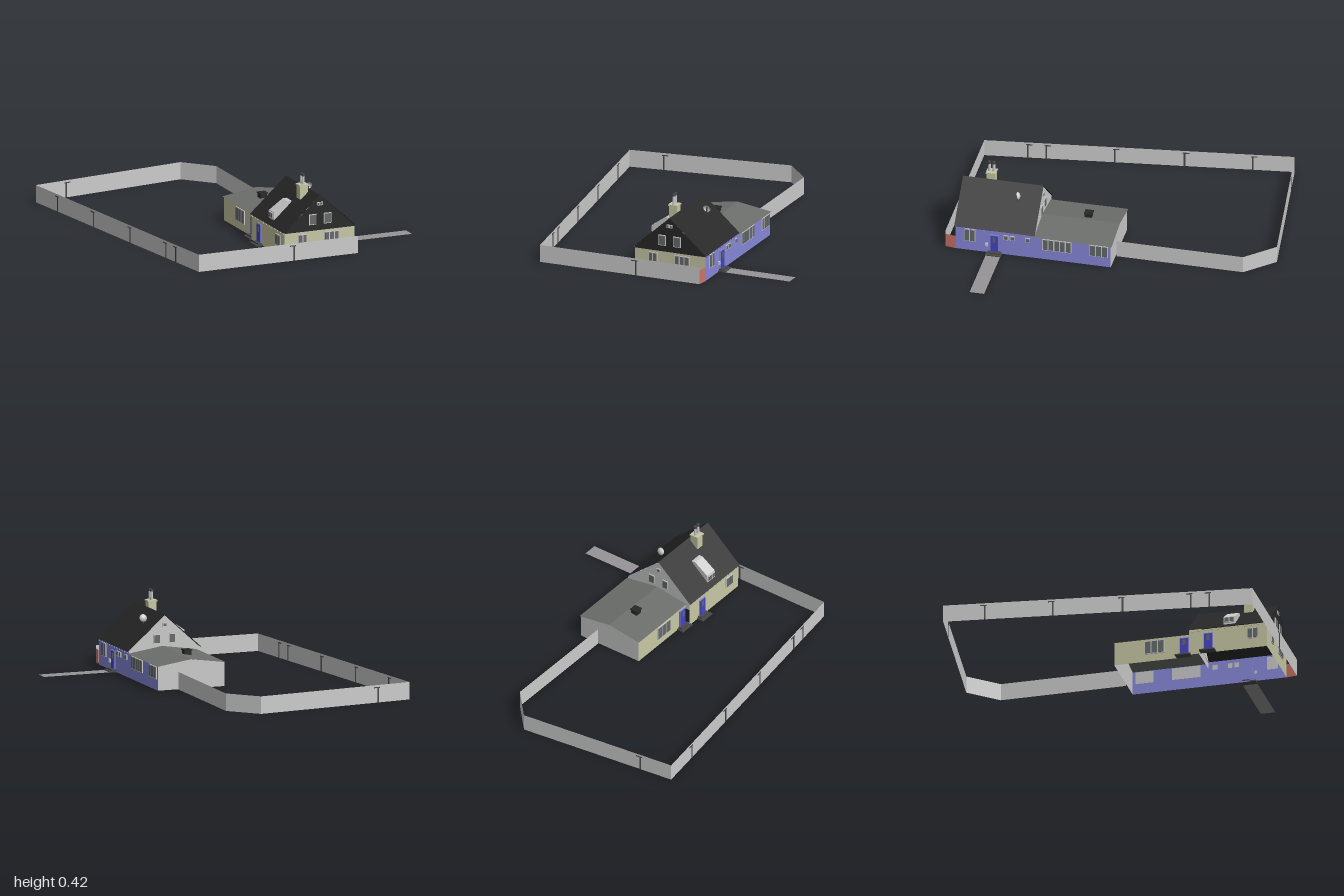
import * as THREE from 'three';

const mat = (name, color, side = THREE.FrontSide) =>
  Object.assign(new THREE.MeshStandardMaterial({ color, side }), { name });
const D = THREE.DoubleSide;

export function createModel() {
  const M = {
    black: mat('black tile', 0x282828, D),
    flat: mat('grey roofing', 0x6c6f6b, D),
    grey: mat('light grey render', 0xcccccc, D),
    cream: mat('cream render', 0xc8c8a6, D),
    blue: mat('blue render', 0x8888dc, D),
    door: mat('door blue', 0x4444c4),
    red: mat('gate red', 0xcc7468, D),
    glass: mat('window glass', 0x666a6c),
    path: mat('paving', 0x969496, D),
    dark: mat('dark stone', 0x484848),
  };
  const model = new THREE.Group();
  model.name = 'houseWithGarden';
  const house = new THREE.Group();
  house.name = 'house';
  house.position.set(0.411, 0, 0.404);
  house.rotation.y = 0.405;
  model.add(house);

  const add = (parent, name, geo, material) => {
    const m = new THREE.Mesh(geo, material);
    m.name = name;
    parent.add(m);
    return m;
  };
  const box = (parent, name, material, w, h, d, x, y, z) => {
    const m = add(parent, name, new THREE.BoxGeometry(w, h, d), material);
    m.position.set(x, y, z);
    return m;
  };
  // flat convex polygon, corners counter-clockwise from its front
  const poly = (parent, name, material, pts) => {
    const g = new THREE.BufferGeometry();
    g.setAttribute('position', new THREE.Float32BufferAttribute(pts.flat(), 3));
    const idx = [];
    for (let i = 1; i < pts.length - 1; i++) idx.push(0, i, i + 1);
    g.setIndex(idx);
    g.computeVertexNormals();
    return add(parent, name, g, material);
  };
  // upright wall between two ground points
  const wall = (parent, name, material, [x1, z1], [x2, z2], h, y = 0) =>
    poly(parent, name, material, [[x1, y, z1], [x2, y, z2], [x2, h, z2], [x1, h, z1]]);

  // fitting on a wall: turn 0 faces front, 1 faces +x, 2 back, 3 faces -x
  const onWall = (name, turn, x, y, z) => {
    const g = new THREE.Group();
    g.name = name;
    g.position.set(x, y, z);
    g.rotation.y = turn * Math.PI / 2;
    house.add(g);
    return g;
  };
  const windowAt = (turn, x, y, z, w, h, panes = 1) => {
    const g = onWall('window', turn, x, y, z);
    box(g, 'windowFrame', M.grey, w, h, 0.006, 0, 0, 0.002);
    const pw = w / panes;
    for (let i = 0; i < panes; i++)
      box(g, 'windowPane', M.glass, pw - 0.007, h - 0.008, 0.004, (i + 0.5) * pw - w / 2, 0, 0.005);
  };
  const doorAt = (turn, x, z) => {
    const g = onWall('doorway', turn, x, 0, z);
    box(g, 'doorFrame', M.blue, 0.052, 0.1, 0.007, 0, 0.064, 0.002);
    box(g, 'door', M.door, 0.042, 0.094, 0.008, 0, 0.062, 0.004);
    box(g, 'doorPane', M.glass, 0.016, 0.03, 0.004, 0, 0.085, 0.0075);
    box(g, 'doorStep', M.dark, 0.085, 0.007, 0.04, 0, 0.0035, 0.02);
    box(g, 'doorStep', M.dark, 0.065, 0.007, 0.025, 0, 0.0105, 0.0125);
  };

  // main block walls
  const X = 0.205, ZF = 0.213, ZB = -0.218;
  const EAVE = 0.14, RIDGE = 0.33;
  wall(house, 'frontWall', M.cream, [-X, ZF], [X, ZF], EAVE);
  wall(house, 'leftWall', M.blue, [X, ZF], [X, ZB], EAVE);
  wall(house, 'rightWall', M.cream, [-X, ZB], [-X, ZF], EAVE);
  poly(house, 'backGable', M.grey,
    [[X, 0.1, ZB], [-X, 0.1, ZB], [-X, EAVE, ZB], [0, RIDGE - 0.004, ZB], [X, EAVE, ZB]]);
  poly(house, 'frontGable', M.black,
    [[-0.21, 0.137, 0.219], [0.21, 0.137, 0.219], [0, RIDGE, 0.219]]);

  // main roof
  for (const s of [-1, 1]) {
    const p = [[0, RIDGE, 0.22], [s * 0.212, EAVE, 0.22], [s * 0.212, EAVE, -0.222], [0, RIDGE, -0.222]];
    poly(house, 'mainRoof', M.black, s > 0 ? p : p.reverse());
    for (let i = 0; i < 12; i++)
      box(house, 'rafterEnd', s > 0 ? M.blue : M.cream, 0.008, 0.008, 0.008,
        s * 0.207, 0.134, -0.2 + i * 0.0365);
  }

  // rear extension
  const EL = -0.178, ER = 0.205, EM = 0.013, EB = -0.637, EH = 0.13, ET = 0.16;
  wall(house, 'extensionLeftWall', M.blue, [ER, ZB], [ER, EB], EH);
  wall(house, 'extensionRightWall', M.cream, [EL, EB], [EL, ZB], EH);
  poly(house, 'extensionBackWall', M.grey,
    [[ER, 0, EB], [EL, 0, EB], [EL, EH, EB], [EM, ET - 0.002, EB], [ER, EH, EB]]);
  poly(house, 'extensionRoof', M.flat,
    [[EM, ET, -0.217], [0.211, EH, -0.217], [0.211, EH, -0.643], [EM, ET, -0.643]]);
  poly(house, 'extensionRoof', M.flat,
    [[EM, ET, -0.643], [-0.184, EH, -0.643], [-0.184, EH, -0.217], [EM, ET, -0.217]]);
  box(house, 'roofVent', M.black, 0.038, 0.028, 0.038, -0.03, 0.164, -0.463);
  box(house, 'roofVentCap', M.black, 0.046, 0.006, 0.046, -0.03, 0.178, -0.463);

  // windows and doors on the left side
  windowAt(1, X, 0.095, 0.135, 0.062, 0.075, 2);
  for (const z of [-0.063, -0.098, -0.183]) windowAt(1, X, 0.106, z, 0.026, 0.028);
  windowAt(1, X, 0.093, -0.342, 0.158, 0.068, 5);
  windowAt(1, X, 0.093, -0.572, 0.1, 0.068, 3);
  doorAt(1, X, 0);
  box(house, 'doorLamp', M.grey, 0.01, 0.018, 0.014, X + 0.004, 0.05, 0.042);

  // right side
  windowAt(3, -X, 0.085, 0.135, 0.06, 0.06, 2);
  doorAt(3, -X, -0.11);
  doorAt(3, EL, -0.25);
  windowAt(3, EL, 0.08, -0.415, 0.11, 0.075, 3);

  // front and back
  windowAt(0, 0.07, 0.093, ZF, 0.085, 0.06, 3);
  windowAt(0, -0.1, 0.093, ZF, 0.05, 0.06, 2);
  for (const s of [-1, 1]) {
    windowAt(0, s * 0.043, 0.2, 0.219, 0.044, 0.058, 1);
    windowAt(0, s * 0.009, 0.283, 0.219, 0.014, 0.018);
    windowAt(2, s * 0.044, 0.2, ZB, 0.036, 0.05);
  }
  windowAt(2, 0, 0.275, ZB, 0.022, 0.022);

  // chimney with two pots
  box(house, 'chimney', M.cream, 0.046, 0.075, 0.046, -0.037, 0.318, 0.071);
  box(house, 'chimneyCap', M.cream, 0.054, 0.008, 0.054, -0.037, 0.356, 0.071);
  for (const s of [-1, 1]) {
    const pot = add(house, 'chimneyPot', new THREE.CylinderGeometry(0.007, 0.008, 0.05, 10), M.grey);
    pot.position.set(-0.037, 0.383, 0.071 + s * 0.012);
    const cap = add(house, 'potCap', new THREE.CylinderGeometry(0.009, 0.009, 0.012, 10), M.dark);
    cap.position.set(-0.037, 0.412, 0.071 + s * 0.012);
  }

  // dormer on the right slope
  const prof = new THREE.Shape([[-0.186, 0.16], [-0.09, 0.247], [-0.082, 0.262], [-0.105, 0.262], [-0.184, 0.207]]
    .map(([x, y]) => new THREE.Vector2(x, y)));
  const dormer = add(house, 'dormer',
    new THREE.ExtrudeGeometry(prof, { depth: 0.066, bevelEnabled: false }), M.grey);
  dormer.position.z = -0.033;
  windowAt(3, -0.186, 0.188, 0, 0.056, 0.03, 2);

  // dish on the left slope
  const dish = add(house, 'dish', new THREE.SphereGeometry(0.026, 16, 6, 0, Math.PI * 2, 0, 0.95), M.grey);
  dish.position.set(0.075, 0.295, -0.115);
  dish.rotation.x = -Math.PI / 2 + 0.3;
  dish.position.z += 0.03;
  dish.position.y -= 0.004;
  box(house, 'dishPole', M.dark, 0.005, 0.05, 0.005, 0.075, 0.278, -0.098);

  // paved path to the door
  poly(house, 'path', M.path,
    [[0.207, 0.002, 0.04], [0.62, 0.002, 0.04], [0.62, 0.002, -0.04], [0.207, 0.002, -0.04]]);

  // garden wall and gate
  const H = 0.095;
  const run = [[0.7, 0.575], [-0.155, 0.945], [-1, -0.49], [-0.22, -0.945], [-0.03, -0.86], [0.24, -0.222]];
  for (let i = 0; i < run.length - 1; i++) wall(model, 'gardenWall', M.grey, run[i + 1], run[i], H);
  wall(model, 'gate', M.red, run[0], [0.684, 0.519], 0.077);

  // thin posts set in the garden wall: [run index, fraction along it]
  for (const [i, t] of [[0, 0.4], [1, 0.14], [1, 0.2], [1, 0.42], [1, 0.645], [1, 0.865], [2, 0.21]]) {
    const [a, b] = [run[i], run[i + 1]];
    const g = new THREE.Group();
    g.name = 'wallPost';
    g.position.set(a[0] + (b[0] - a[0]) * t, 0, a[1] + (b[1] - a[1]) * t);
    g.rotation.y = -Math.atan2(b[1] - a[1], b[0] - a[0]);
    box(g, 'post', M.dark, 0.008, 0.084, 0.006, 0, 0.042, 0);
    box(g, 'postBracket', M.dark, 0.035, 0.005, 0.006, 0.008, 0.082, 0);
    model.add(g);
  }
  return model;
}
